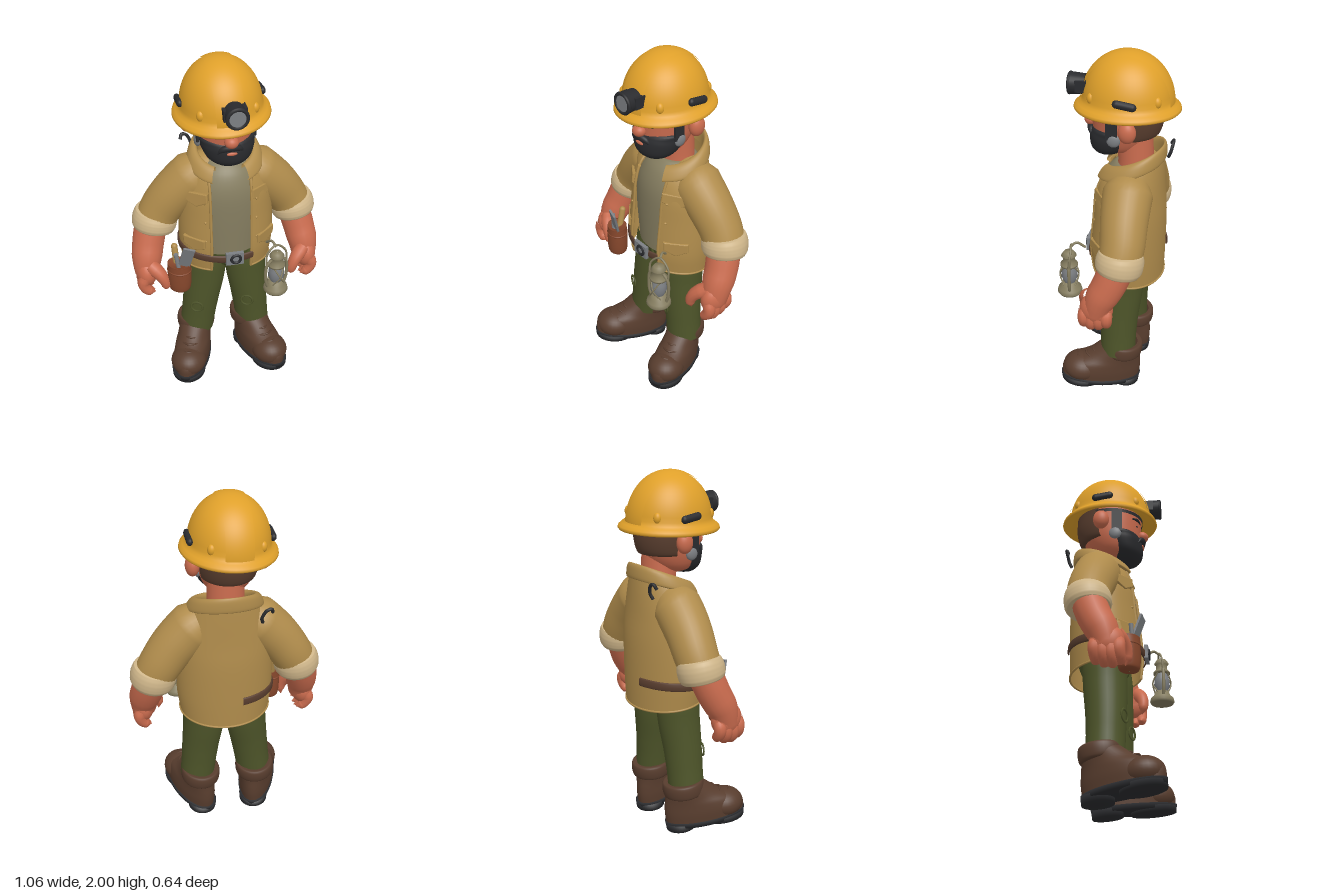
import * as THREE from 'three';
import { mergeVertices } from 'three/addons/utils/BufferGeometryUtils.js';

const V = (p) => new THREE.Vector3(...p);
const curveOf = (pts) => new THREE.CatmullRomCurve3(pts.map(V), false, 'catmullrom');

function smooth(geo) {
  geo.deleteAttribute('uv');
  geo.deleteAttribute('normal');
  const g = mergeVertices(geo, 1e-4);
  g.computeVertexNormals();
  return g;
}

// Stacked ellipses [y, rx, rz, cx, cz, tilt]; angle 0 is the front, span(rx) gives the angle range
function loft(rings, { span = () => [-Math.PI, Math.PI], seg = 40, sub = 4 } = {}) {
  const a = curveOf(rings.map((r) => [r[0], r[1], r[2]]));
  const b = curveOf(rings.map((r) => [r[3] || 0, r[4] || 0, r[5] || 0]));
  const n = (rings.length - 1) * sub, pos = [], idx = [];
  for (let i = 0; i <= n; i++) {
    const p = a.getPoint(i / n), c = b.getPoint(i / n), [a0, a1] = span(p.y);
    for (let j = 0; j <= seg; j++) {
      const t = a0 + (a1 - a0) * j / seg;
      pos.push(c.x + p.y * Math.sin(t), p.x + c.z * Math.cos(t), c.y + p.z * Math.cos(t));
      if (i < n && j < seg) {
        const k = i * (seg + 1) + j, u = k + seg + 1;
        idx.push(k, k + 1, u, k + 1, u + 1, u);
      }
    }
  }
  const g = new THREE.BufferGeometry();
  g.setAttribute('position', new THREE.Float32BufferAttribute(pos, 3));
  g.setIndex(idx);
  return smooth(g);
}

// Tube whose thickness follows a list of radii
function limb(pts, radii, seg = 20) {
  const curve = curveOf(pts), n = (radii.length - 1) * 4;
  const g = new THREE.TubeGeometry(curve, n, 1, seg), pos = g.attributes.position, v = new THREE.Vector3();
  for (let i = 0; i <= n; i++) {
    const c = curve.getPointAt(i / n), k = Math.min(Math.floor(i / 4), radii.length - 2);
    const r = Math.max(0.0005, THREE.MathUtils.lerp(radii[k], radii[k + 1], i / 4 - k));
    for (let j = 0; j <= seg; j++) {
      const q = i * (seg + 1) + j;
      v.fromBufferAttribute(pos, q).sub(c).multiplyScalar(r).add(c);
      pos.setXYZ(q, v.x, v.y, v.z);
    }
  }
  return smooth(g);
}

const wire = (pts, r) => new THREE.TubeGeometry(curveOf(pts), 24, r, 8);
const cyl = (r1, r2, h) => new THREE.CylinderGeometry(r1, r2, h, 24);

export function createModel() {
  const mat = (name, color, side = THREE.FrontSide) =>
    Object.assign(new THREE.MeshStandardMaterial({ color, side }), { name });
  const skin = mat('skin', 0xc96b4e), yellow = mat('helmet yellow', 0xdfa02a);
  const black = mat('black', 0x2a2b2e, THREE.DoubleSide), tan = mat('jacket tan', 0xb08c4c, THREE.DoubleSide);
  const cream = mat('cuff cream', 0xcfb68a), khaki = mat('khaki grey', 0x857d60);
  const green = mat('trouser green', 0x4d5429), brown = mat('dark brown', 0x583d2e, THREE.DoubleSide);
  const leather = mat('pouch leather', 0x86472c), metal = mat('grey metal', 0x7c7f83);

  const root = new THREE.Group();
  root.name = 'miner';
  const group = (parent, name, pos, ry = 0) => {
    const g = new THREE.Group();
    g.name = name; g.position.set(...pos); g.rotation.order = 'YXZ'; g.rotation.y = ry;
    parent.add(g);
    return g;
  };
  const add = (parent, name, geo, m, pos = [0, 0, 0], rot = [0, 0, 0]) => {
    const o = new THREE.Mesh(geo, m);
    o.name = name; o.position.set(...pos); o.rotation.set(...rot);
    parent.add(o);
    return o;
  };
  const ball = (parent, name, m, pos, r) => {
    const o = add(parent, name, new THREE.SphereGeometry(1, 28, 18), m, pos);
    o.scale.set(...r);
    return o;
  };

  const body = group(root, 'body', [0, 0, -0.08], 0.16);

  // Jacket shell, open at the front
  const gap = (rx) => { const a = Math.asin(Math.min(0.9, 0.11 / rx)); return [a, 2 * Math.PI - a]; };
  const jacketRings = [[0.755, 0.25, 0.198, 0, 0.01, 0.025], [0.9, 0.266, 0.205, 0, 0.013, 0.01], [1.1, 0.262, 0.197, 0, 0.004],
    [1.24, 0.25, 0.186, 0, 0.002], [1.36, 0.205, 0.17, 0, -0.008, -0.02], [1.43, 0.165, 0.147, 0, -0.025, -0.045]];
  add(body, 'jacket', loft(jacketRings, { span: gap, seg: 60 }), tan);
  const hem = [];
  for (let i = 0; i <= 30; i++) {
    const [a0, a1] = gap(0.25), t = a0 + (a1 - a0) * i / 30;
    hem.push([0.25 * Math.sin(t), 0.755 + 0.025 * Math.cos(t), 0.01 + 0.198 * Math.cos(t)]);
  }
  add(body, 'jacketHem', new THREE.TubeGeometry(curveOf(hem), 80, 0.006, 8), tan);
  add(body, 'collar', loft([[1.39, 0.15, 0.135, 0, -0.02, -0.05], [1.45, 0.145, 0.14, 0, -0.025, -0.06],
    [1.466, 0.162, 0.153, 0, -0.022, -0.06], [1.445, 0.188, 0.172, 0, -0.013, -0.06], [1.395, 0.207, 0.184, 0, -0.002, -0.055],
    [1.385, 0.19, 0.168, 0, -0.003, -0.055]], { span: () => [0.5, 2 * Math.PI - 0.5] }), tan);

  // Shirt, neck and trouser seat
  add(body, 'shirt', loft([[0.86, 0.2, 0.17], [1.1, 0.225, 0.175], [1.25, 0.215, 0.168], [1.35, 0.17, 0.145, 0, -0.01],
    [1.4, 0.118, 0.112, 0, -0.02], [1.41, 0.09, 0.09, 0, -0.02]]), khaki);
  add(body, 'neck', loft([[1.34, 0.11, 0.1, 0.0, -0.02], [1.42, 0.1, 0.094, 0, -0.025], [1.58, 0.096, 0.094, 0, -0.017]]), skin);
  add(body, 'trouserSeat', loft([[0.69, 0.02, 0.04], [0.72, 0.12, 0.095], [0.8, 0.205, 0.14], [0.93, 0.205, 0.17]]), green);

  // Belt with buckle, worn outside the jacket on the right side
  add(body, 'belt', loft([[0.856, 0.264, 0.206, 0, 0.011, -0.012], [0.863, 0.274, 0.216, 0, 0.013, -0.012],
    [0.896, 0.275, 0.216, 0, 0.013, -0.012], [0.903, 0.266, 0.207, 0, 0.013, -0.012]], { span: () => [-2.9, 0.45], sub: 2 }), brown);
  add(body, 'buckle', new THREE.BoxGeometry(0.1, 0.078, 0.02), metal, [0.01, 0.88, 0.232]);
  add(body, 'buckleFrame', new THREE.TorusGeometry(0.026, 0.008, 8, 20), black, [0.015, 0.88, 0.242]);
  add(body, 'fly', wire([[0, 0.86, 0.152], [0.008, 0.8, 0.142], [0.005, 0.75, 0.112]], 0.009), green);

  const flap = new THREE.Shape([[-0.062, 0.026], [0.062, 0.026], [0.062, -0.016], [0, -0.045], [-0.062, -0.016]]
    .map((p) => new THREE.Vector2(...p)));
  const bevel = { depth: 0.012, bevelSize: 0.006, bevelThickness: 0.006, bevelSegments: 3 };
  const flapGeo = new THREE.ExtrudeGeometry(flap, bevel).translate(0, 0, -0.012);

  for (const s of [-1, 1]) {
    const side = s < 0 ? 'right' : 'left';
    const P = (...pts) => pts.map(([x, y, z]) => [x * s, y, z]);

    // Jacket front edge, pocket flaps and buttons
    const edge = jacketRings.map(([y, rx, rz, , cz = 0, tilt = 0]) => {
      const a = gap(rx)[0];
      return [s * 0.112, y + tilt * Math.cos(a), cz + rz * Math.cos(a) - 0.002];
    });
    add(body, side + 'Placket', new THREE.TubeGeometry(curveOf(edge), 30, 0.008, 8), tan);
    add(body, side + 'ChestFlap', flapGeo, tan, [s * 0.175 - 0.008, 1.245, 0.132], [-0.12, s * 0.64, 0]);
    add(body, side + 'HipFlap', flapGeo, tan, [s * 0.2, 0.955, 0.145], [0, s * 0.7, 0]);
    for (const [y, z] of [[0.98, 0.175], [1.1, 0.166], [1.22, 0.156]])
      ball(body, side + 'Button', tan, [s * 0.14, y, z], [0.008, 0.008, 0.012]);

    // Arm
    add(body, side + 'Sleeve', limb(P([0.07, 1.37, -0.03], [0.17, 1.3, -0.02], [0.275, 1.2, -0.025], [0.35, 1.1, -0.033], [0.392, 1.02, -0.028]),
      [0.075, 0.132, 0.126, 0.119, 0.112], 28), tan);
    add(body, side + 'Cuff', limb(P([0.378, 1.095, -0.035], [0.393, 1.03, -0.03], [0.408, 0.95, -0.018]),
      [0, 0.114, 0.122, 0.126, 0.126, 0.124, 0.114, 0], 28), cream);
    const arm = group(body, side + 'Arm', [-0.008, 0, 0]);
    add(arm, 'forearm', limb(P([0.402, 1.03, -0.03], [0.435, 0.9, 0.018], [0.453, 0.81, 0.062], [0.458, 0.73, 0.085]),
      [0.092, 0.091, 0.087, 0.068]), skin);
    ball(arm, 'palm', skin, [s * 0.462, 0.75, 0.083], [0.062, 0.092, 0.09]);
    [0.025, 0.067, 0.108, 0.145].forEach((z, i) => {
      const d = [0.02, 0.002, -0.004, 0.012][i];
      add(arm, 'finger', limb(P([0.472, 0.75, z], [0.488, 0.69 + d, z], [0.466, 0.645 + d, z + 0.004], [0.422, 0.628 + d, z + 0.006]),
        [0.03, 0.034, 0.033, 0.031, 0.027, 0], 12), skin);
    });
    add(arm, 'thumb', limb(P([0.44, 0.81, 0.12], [0.39, 0.765, 0.16], [0.365, 0.71, 0.172], [0.366, 0.655, 0.162]),
      [0.04, 0.042, 0.036, 0.031, 0.026, 0], 12), skin);

    // Leg with knee patch
    const dx = -0.02;
    add(body, side + 'TrouserLeg', limb([[s * 0.112, 0.86, 0.015], [s * 0.12, 0.66, 0.022], [s * 0.144, 0.47, 0.032], [s * 0.172, 0.24, 0.035]]
      .map(([x, y, z]) => [x + dx * (0.84 - y), y, z]), [0.112, 0.121, 0.116, 0.108, 0.102, 0.1], 28), green);
    const patch = add(body, side + 'KneePatch', new THREE.TorusGeometry(0.034, 0.007, 6, 20), green, [s * 0.15 - 0.045, 0.46, 0.135], [-0.03, -0.35, 0]);
    patch.scale.z = 0.7;

    // Boot
    const boot = group(body, side + 'Boot', [s * 0.174 + dx, 0.016, 0.038], s * 0.36);
    boot.rotation.x = -0.11;
    const slab = (name, y0, y1, rx, rz, cz) => add(boot, name, loft([[y0, 0.001, 0.001, 0, cz], [y0, rx * 0.97, rz * 0.98, 0, cz],
      [y1, rx, rz, 0, cz], [y1, 0.001, 0.001, 0, cz]], { sub: 1 }), black);
    slab('sole', 0.024, 0.052, 0.108, 0.236, 0.107);
    slab('heel', 0, 0.04, 0.085, 0.085, -0.04);
    slab('tread', 0.008, 0.04, 0.1, 0.125, 0.212);
    add(boot, 'bootUpper', loft([[0.045, 0.101, 0.228, 0, 0.107], [0.1, 0.104, 0.23, 0, 0.107], [0.15, 0.1, 0.208, 0, 0.09],
      [0.195, 0.094, 0.155, 0, 0.045], [0.28, 0.092, 0.1]]), brown);
    ball(boot, 'toeCap', brown, [0, 0.097, 0.222], [0.104, 0.084, 0.113]);
    [[0.168, 0.258], [0.19, 0.21], [0.212, 0.172]].forEach(([y, z]) => add(boot, 'lace',
      wire([[-0.055, y - 0.005, z - 0.035], [0, y + 0.006, z], [0.055, y - 0.005, z - 0.035]], 0.006), brown));
    add(boot, 'bootCuff', loft([[0.205, 0.088, 0.09], [0.21, 0.107, 0.111], [0.24, 0.113, 0.118], [0.27, 0.112, 0.117],
      [0.288, 0.104, 0.109], [0.286, 0.08, 0.085]], { sub: 3 }), brown);
  }

  // Small cord hook on the upper back
  add(root, 'cordHook', wire([[-0.19, 1.365, -0.22], [-0.185, 1.4, -0.235], [-0.205, 1.44, -0.24], [-0.232, 1.45, -0.235], [-0.24, 1.425, -0.22]], 0.009), black);

  // Head
  const head = group(root, 'head', [-0.01, 0, -0.04], 0.2);
  add(head, 'face', loft([[1.46, 0.03, 0.03, 0, 0.03], [1.49, 0.105, 0.11, 0, 0.02], [1.56, 0.14, 0.155, 0, 0.008],
    [1.65, 0.153, 0.172], [1.76, 0.158, 0.178]]), skin);
  add(head, 'hair', loft([[1.565, 0.132, 0.145, 0, -0.01], [1.58, 0.148, 0.165, 0, -0.018], [1.65, 0.16, 0.18, 0, -0.022], [1.75, 0.163, 0.182, 0, -0.02]],
    { span: () => [1.8, 2 * Math.PI - 1.8] }), brown);
  add(head, 'headband', loft([[1.71, 0.166, 0.187, 0, -0.005], [1.73, 0.168, 0.189, 0, -0.005]]), black);
  add(head, 'beard', loft([[1.452, 0.001, 0.001, 0.01, 0.09], [1.456, 0.06, 0.05, 0.01, 0.09], [1.49, 0.113, 0.1, 0.01, 0.075], [1.54, 0.138, 0.125, 0.008, 0.058],
    [1.58, 0.144, 0.125, 0.004, 0.052], [1.61, 0.135, 0.1, 0.002, 0.05], [1.615, 0.001, 0.001, 0, 0.05]]), black);
  add(head, 'moustache', limb([[-0.07, 1.545, 0.16], [-0.045, 1.578, 0.172], [0, 1.59, 0.182], [0.045, 1.578, 0.172], [0.07, 1.545, 0.16]],
    [0, 0.016, 0.019, 0.016, 0]), black);
  ball(head, 'mouth', skin, [0.003, 1.553, 0.182], [0.028, 0.01, 0.008]);
  ball(head, 'nose', skin, [0, 1.622, 0.18], [0.037, 0.032, 0.036]);
  for (const s of [-1, 1]) {
    ball(head, 'eye', black, [s * 0.068, 1.655, 0.152], [0.008, 0.006, 0.006]);
    add(head, 'eyebrow', limb([[s * 0.03, 1.69, 0.17], [s * 0.065, 1.698, 0.158], [s * 0.105, 1.69, 0.13]], [0.004, 0.01, 0.004], 10), black);
    ball(head, 'ear', skin, [s * 0.186, 1.643, -0.042], [0.037, 0.057, 0.046]);
    add(head, 'chinStrap', new THREE.BoxGeometry(0.014, 0.15, 0.06), black, [s * 0.15, 1.655, 0.045]);
    ball(head, 'strapBuckle', metal, [s * 0.146, 1.575, 0.035], [0.018, 0.037, 0.036]);
  }

  // Helmet: lathed dome and rolled brim, raised crest, clips, knobs and lamp
  const helmet = group(head, 'helmet', [-0.01, 1.735, -0.01]);
  helmet.rotation.z = 0.045;
  const profile = [[0.001, 0.05], [0.15, 0.015], [0.2, -0.01], [0.235, -0.037], [0.247, -0.04], [0.253, -0.032], [0.25, -0.02], [0.234, -0.005], [0.219, 0.006]];
  for (let i = 1; i <= 16; i++) {
    const t = i / 16 * Math.PI / 2;
    profile.push([0.213 * Math.cos(t) ** 0.93 + 0.0005, 0.257 * Math.sin(t)]);
  }
  const shell = new THREE.LatheGeometry(profile.map((p) => new THREE.Vector2(...p)), 56);
  add(helmet, 'helmetShell', smooth(shell.scale(1, 1, 1.1)), yellow);
  const crest = add(helmet, 'helmetCrest', new THREE.SphereGeometry(1, 40, 10, Math.PI / 2, Math.PI, 1.24, 0.66).rotateZ(Math.PI / 2), yellow);
  crest.scale.set(0.222, 0.265, 0.243);
  for (const s of [-1, 1]) {
    const clip = add(helmet, 'sideClip', new THREE.CapsuleGeometry(0.021, 0.08, 6, 12), black, [s * 0.213, 0.048, -0.02], [Math.PI / 2 - 0.15, 0, 0]);
    clip.scale.x = 0.8;
    for (const a of [0.75, 2.45])
      ball(helmet, 'knob', yellow, [s * 0.2 * Math.sin(a), 0.045, 0.22 * Math.cos(a)], [0.022, 0.03, 0.022]);
  }
  const lamp = group(helmet, 'headLamp', [0.017, 0.077, 0.25]);
  add(lamp, 'lampBody', cyl(0.058, 0.052, 0.08), black, [0, 0, 0.005], [Math.PI / 2, 0, 0]);
  add(lamp, 'lampBracket', new THREE.BoxGeometry(0.12, 0.06, 0.06), black, [0, 0, -0.02]);
  add(lamp, 'lampRim', new THREE.TorusGeometry(0.05, 0.01, 10, 28), black, [0, 0, 0.045]);
  add(lamp, 'lampLens', cyl(0.044, 0.044, 0.008), metal, [0, 0, 0.046], [Math.PI / 2, 0, 0]);

  // Tool pouch on the right hip
  const pouch = group(root, 'toolPouch', [-0.262, 0, 0.135], -0.3);
  add(pouch, 'pouchBag', loft([[0.66, 0.005, 0.005], [0.664, 0.05, 0.044], [0.69, 0.063, 0.056], [0.76, 0.067, 0.058], [0.835, 0.065, 0.055],
    [0.843, 0.06, 0.05], [0.82, 0.005, 0.005]]), leather);
  add(pouch, 'pouchBand', new THREE.TorusGeometry(0.064, 0.006, 8, 28).scale(1, 0.86, 1), leather, [0, 0.8, 0], [Math.PI / 2, 0, 0]);
  add(pouch, 'trowelBlade', new THREE.BoxGeometry(0.065, 0.15, 0.012), metal, [0.054, 0.915, 0.025], [0.25, 0.2, -0.3]);
  add(pouch, 'chisel', cyl(0.012, 0.012, 0.14), metal, [0, 0.85, 0.02], [0, 0, 0.15]);
  add(pouch, 'toolHandle', new THREE.CapsuleGeometry(0.018, 0.12, 6, 12), tan, [-0.03, 0.865, -0.03], [-0.2, 0, 0.15]);

  // Lantern on the left hip
  const lantern = group(root, 'lantern', [0.276, 0, 0.172], 0.4);
  const lathe = (name, m, pts) => add(lantern, name, new THREE.LatheGeometry(pts.map((p) => new THREE.Vector2(...p)), 28), m);
  lathe('lanternBase', khaki, [[0.001, 0.668], [0.062, 0.668], [0.069, 0.68], [0.064, 0.7], [0.048, 0.715], [0.038, 0.74], [0.001, 0.745]]);
  lathe('lanternGlass', metal, [[0.03, 0.738], [0.045, 0.775], [0.042, 0.815], [0.03, 0.85]]);
  lathe('lanternCap', khaki, [[0.001, 0.845], [0.048, 0.848], [0.048, 0.858], [0.032, 0.875], [0.032, 0.905], [0.042, 0.912], [0.027, 0.935], [0.001, 0.94]]);
  for (const s of [-1, 1]) {
    add(lantern, 'lanternSideTube', wire([[s * 0.048, 0.7, 0], [s * 0.064, 0.76, 0], [s * 0.062, 0.85, 0], [s * 0.03, 0.895, 0]], 0.009), khaki);
    add(lantern, 'glassGuard', wire([[s * 0.035, 0.73, 0.03], [0, 0.79, 0.052], [-s * 0.03, 0.85, 0.028]], 0.004), khaki);
    add(lantern, 'rearGuard', wire([[s * 0.035, 0.73, -0.03], [0, 0.79, -0.052], [-s * 0.03, 0.85, -0.028]], 0.004), khaki);
  }
  add(lantern, 'lanternHandle', wire([[-0.062, 0.86, 0], [-0.056, 0.93, -0.008], [0, 0.975, -0.015], [0.056, 0.93, -0.008], [0.062, 0.86, 0]], 0.006), khaki);
  add(lantern, 'lanternHook', wire([[0, 0.965, -0.01], [-0.01, 0.985, -0.045], [-0.02, 0.95, -0.09]], 0.007), khaki);

  return root;
}
